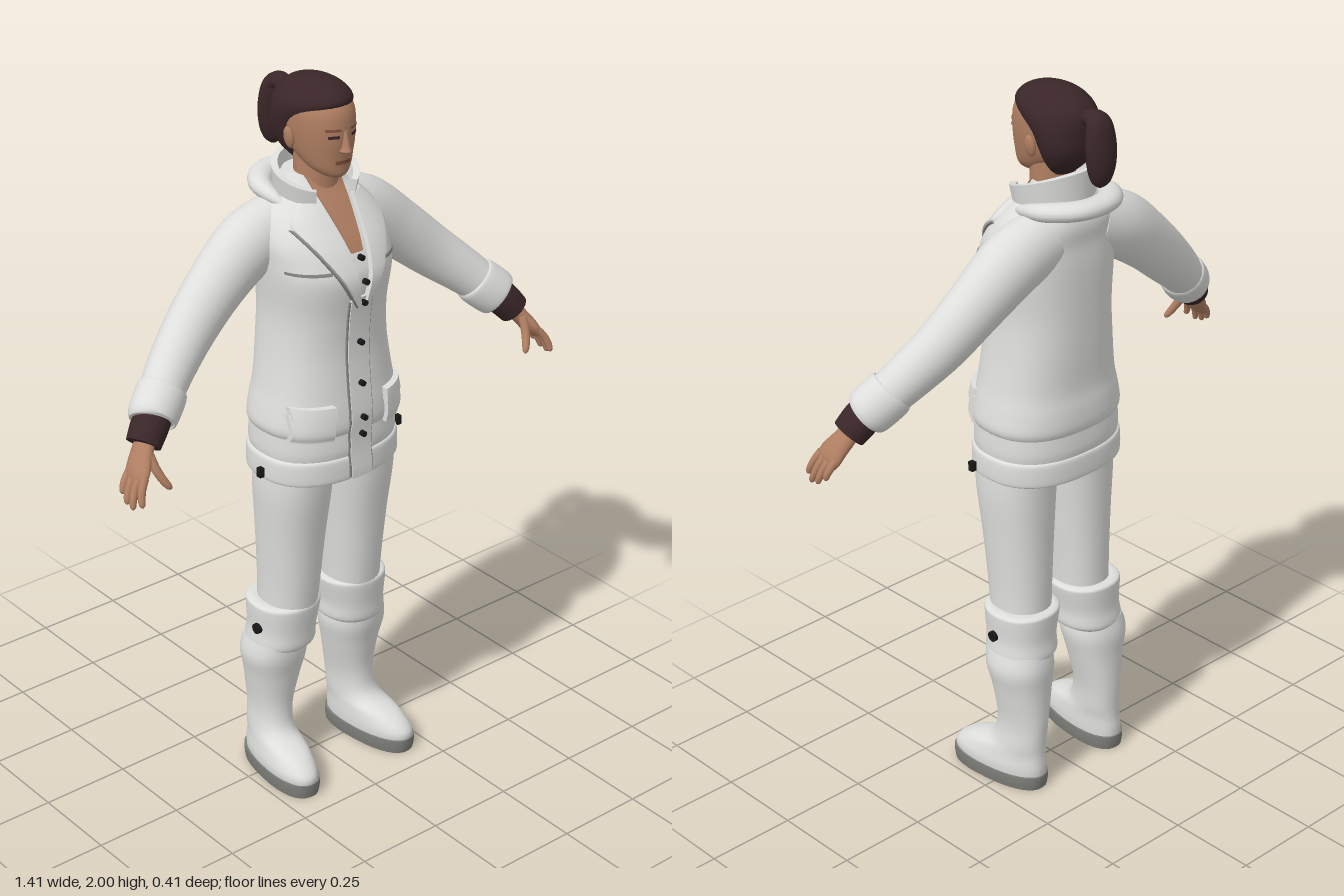
import * as THREE from 'three';

const mat = (name, color, side = THREE.FrontSide) => {
  const m = new THREE.MeshStandardMaterial({ color, side });
  m.name = name;
  return m;
};

// Smoothly subdivide rows of [x, y, z, radius1, radius2]
function densify(rows, k = 5) {
  const out = [];
  const cr = (a, b, c, d, t) => 0.5 * (2 * b + (c - a) * t + (2 * a - 5 * b + 4 * c - d) * t * t + (3 * b - a - 3 * c + d) * t ** 3);
  for (let i = 0; i < rows.length - 1; i++) {
    const [a, b, c, d] = [i - 1, i, i + 1, i + 2].map(n => rows[Math.min(Math.max(n, 0), rows.length - 1)]);
    for (let s = 0; s < k; s++) out.push(b.map((_, n) => cr(a[n], b[n], c[n], d[n], s / k)));
  }
  out.push(rows[rows.length - 1]);
  return out;
}

// Closed skin over superellipse rings; with no ref the rings stay level, otherwise they follow the path
function loft(rows, { ref = null, p = 2, seg = 32, k = 5 } = {}) {
  const R = densify(rows, k), pos = [], idx = [];
  const pt = r => new THREE.Vector3(r[0], r[1], r[2]);
  const pw = v => Math.sign(v) * Math.abs(v) ** (2 / p);
  const rings = R.map((r, i) => {
    let u = new THREE.Vector3(1, 0, 0), v = new THREE.Vector3(0, 0, 1);
    if (ref) {
      const t = pt(R[Math.min(i + 1, R.length - 1)]).sub(pt(R[Math.max(i - 1, 0)])).normalize();
      u = t.clone().cross(ref).normalize();
      v = u.clone().cross(t);
    }
    return Array.from({ length: seg }, (_, j) => {
      const a = j / seg * Math.PI * 2;
      return pt(r).addScaledVector(u, r[3] * pw(Math.cos(a))).addScaledVector(v, r[4] * pw(Math.sin(a)));
    });
  });
  rings.forEach(ring => ring.forEach(q => pos.push(q.x, q.y, q.z)));
  for (let i = 0; i < rings.length - 1; i++) for (let j = 0; j < seg; j++) {
    const a = i * seg + j, c = i * seg + (j + 1) % seg, b = a + seg, d = c + seg;
    idx.push(a, b, c, b, d, c);
  }
  for (const end of [0, rings.length - 1]) {
    const base = pos.length / 3, c = pt(R[end]);
    rings[end].forEach(q => pos.push(q.x, q.y, q.z));
    pos.push(c.x, c.y, c.z);
    for (let j = 0; j < seg; j++) {
      const n = base + (j + 1) % seg;
      end ? idx.push(base + seg, n, base + j) : idx.push(base + seg, base + j, n);
    }
  }
  const g = new THREE.BufferGeometry();
  g.setAttribute('position', new THREE.Float32BufferAttribute(pos, 3));
  g.setIndex(idx);
  g.computeVertexNormals();
  return g;
}

// Move every vertex of a unit box by a rule
function bend(nx, ny, rule) {
  const g = new THREE.BoxGeometry(1, 1, 1, nx, ny, 1), P = g.attributes.position;
  for (let i = 0; i < P.count; i++) P.setXYZ(i, ...rule(P.getX(i), P.getY(i), P.getZ(i)));
  g.computeVertexNormals();
  return g;
}

// Front z of a level loft at x, y
function surface(rows, p) {
  const R = densify(rows, 8);
  return (x, y) => {
    let i = 0;
    if (y < R[0][1] || y > R[R.length - 1][1]) return -1;
    while (i < R.length - 2 && R[i + 1][1] < y) i++;
    const t = (y - R[i][1]) / (R[i + 1][1] - R[i][1]);
    const [, , z, rx, rz] = R[i].map((v, n) => v + (R[i + 1][n] - v) * t);
    return z + rz * (1 - Math.min(Math.abs(x / rx), 0.99) ** p) ** (1 / p);
  };
}

// Slab lying on a front surface, with edges x0(t) and x1(t)
const patch = (front, y0, y1, x0, x1, depth) => bend(10, 16, (bx, by, bz) => {
  const t = by + 0.5, a = x0(t), x = a + (x1(t) - a) * (bx + 0.5), y = y0 + (y1 - y0) * t;
  return [x, y, front(x, y) + depth * (bz + 0.5) - (bz < 0 ? 0.004 : 0)];
});

export function createModel() {
  const model = new THREE.Group();
  const white = mat('white cloth', 0xdededc), skin = mat('skin', 0xb07f62), dark = mat('dark brown', 0x3a2628);
  const soleGrey = mat('sole grey', 0x7d7d78), black = mat('black', 0x181818);
  const seam = mat('seam grey', 0x858583), lip = mat('lip and brow', 0x80513f);
  const Y = new THREE.Vector3(0, 1, 0), Z = new THREE.Vector3(0, 0, 1), X = new THREE.Vector3(1, 0, 0);
  const add = (name, geo, m) => {
    const mesh = new THREE.Mesh(geo, m);
    mesh.name = name;
    model.add(mesh);
  };
  const both = (name, geo, m) => {
    add('left ' + name, geo, m);
    const g = geo.clone().scale(-1, 1, 1), I = g.index.array;
    for (let i = 0; i < I.length; i += 3) [I[i], I[i + 1]] = [I[i + 1], I[i]];
    add('right ' + name, g, m);
  };

  // Jacket body and hem bands
  const body = [[0, 1.06, .015, .188, .145], [0, 1.09, .015, .206, .158], [0, 1.14, .015, .199, .157], [0, 1.2, .015, .186, .15],
    [0, 1.3, .01, .172, .147], [0, 1.4, .012, .166, .15], [0, 1.5, .018, .175, .157], [0, 1.55, .012, .178, .15],
    [0, 1.6, 0, .178, .135], [0, 1.65, -.02, .16, .117], [0, 1.69, -.03, .125, .095], [0, 1.72, -.035, .09, .075], [0, 1.75, -.035, .07, .06]];
  const hem = [[0, 1.0, .015, .199, .152], [0, 1.03, .015, .202, .156], [0, 1.075, .015, .2, .153]];
  const band = [[0, .94, .015, .203, .155], [0, .95, .015, .209, .16], [0, 1.0, .015, .208, .159], [0, 1.01, .015, .2, .152]];
  const P = 2.4;
  [['jacket', body], ['hem', hem], ['hem band', band]].forEach(([n, r]) => add(n, loft(r, { p: P, seg: 56 }), white));
  const fronts = [body, hem, band].map(r => surface(r, P));
  const front = (x, y) => Math.max(...fronts.map(f => f(x, y)));

  // Placket, lapels, pockets and seams
  const box = (y0, y1, x0, x1, d) => patch(front, y0, y1, () => x0, () => x1, d);
  add('placket', box(.945, 1.46, -.034, .034, .008), white);
  add('open neckline', patch(front, 1.575, 1.745, t => -.018 - .035 * t, t => .018 + .035 * t, .006), skin);
  both('lapel', patch(front, 1.44, 1.695, t => .008 + .048 * t,
    t => t < .8 ? .016 + .155 * t : .14 - .22 * (t - .8), .016), white);
  both('lapel edge', patch(front, 1.43, 1.64, t => .012 + .126 * t, t => .018 + .126 * t, .009), seam);
  both('placket seam', box(.95, 1.45, .033, .038, .005), seam);
  both('yoke seam', box(1.533, 1.54, .085, .17, .004), seam);
  both('pocket', box(1.07, 1.15, .088, .183, .014), white);
  both('pocket flap', box(1.135, 1.17, .084, .18, .02), white);

  // Snaps and clasps
  [1.565, 1.505, 1.445, 1.33, 1.215, 1.12, 1.07].forEach((y, i) =>
    add('snap ' + (i + 1), new THREE.CylinderGeometry(.008, .008, .014, 12).rotateX(Math.PI / 2).translate(0, y, front(0, y) + .015), black));
  both('hem clasp', new THREE.BoxGeometry(.014, .026, .016).translate(.235, .98, .05), black);
  both('boot snap', new THREE.CylinderGeometry(.015, .015, .014, 16).rotateZ(Math.PI / 2).translate(.212, .47, 0), black);

  // Standing collar, open at the front, and rolled hood behind it
  add('collar', bend(48, 5, (bx, by, bz) => {
    const a = bx * 5.1, t = by + .5, c = Math.cos(a), r = 1 - bz * .17;
    const lo = 1.675 + .025 * c, hi = 1.755 + .033 * c;
    return [Math.sin(a) * (.098 + .012 * t) * r, lo + (hi - lo) * t, -.02 + .008 * t - c * (.092 + .004 * t) * r];
  }), white);
  add('rolled hood', loft([[-.115, 1.685, 0, .008, .008], [-.118, 1.695, -.04, .02, .018], [-.108, 1.705, -.1, .03, .024],
    [-.06, 1.71, -.152, .034, .025], [0, 1.71, -.165, .034, .025], [.06, 1.71, -.152, .034, .025], [.108, 1.705, -.1, .03, .024],
    [.118, 1.695, -.04, .02, .018], [.115, 1.685, 0, .008, .008]], { ref: Y, seg: 16 }), white);

  // Sleeves, cuffs and knitted wristbands
  both('sleeve', loft([[.08, 1.615, -.055, .085, .075], [.19, 1.575, -.055, .09, .08], [.3, 1.495, -.045, .08, .072],
    [.4, 1.41, -.025, .072, .065], [.49, 1.335, .01, .063, .06], [.55, 1.28, .042, .056, .056]], { ref: Z }), white);
  both('sleeve cuff', loft([[.518, 1.31, .025, .056, .056], [.524, 1.304, .028, .065, .064], [.55, 1.28, .042, .067, .065],
    [.578, 1.256, .056, .064, .062], [.584, 1.25, .06, .054, .052]], { ref: Z }), white);
  both('wristband', loft([[.57, 1.262, .055, .046, .048], [.595, 1.237, .066, .047, .05], [.622, 1.205, .078, .044, .046]], { ref: Z }), dark);

  // Hands
  both('palm', loft([[.605, 1.225, .07, .022, .028], [.64, 1.18, .09, .021, .036], [.662, 1.148, .105, .018, .042],
    [.674, 1.126, .113, .01, .036]], { ref: Z, seg: 20 }), skin);
  const finger = (a, b, r) => {
    const s = new THREE.Vector3(...a), e = new THREE.Vector3(...b);
    return loft([0, .35, .7, .92, 1].map((t, i) => {
      const q = s.clone().lerp(e, t);
      return [q.x + .008 * Math.sin(t * 3), q.y, q.z, r * [1, 1, .9, .7, .2][i], r * [1, 1, .9, .7, .2][i]];
    }), { ref: Z, seg: 10, k: 3 });
  };
  [[.694, 1.095], [.7, 1.078], [.7, 1.073], [.688, 1.085]].forEach(([x, y], i) =>
    both('finger ' + (i + 1), finger([.664, 1.148, .076 + i * .021], [x, y, .088 + i * .025], .0105), skin));
  both('thumb', finger([.628, 1.19, .11], [.597, 1.105, .158], .0125), skin);

  // Trousers
  both('trouser leg', loft([[.11, .5, 0, .075, .085], [.108, .6, .005, .078, .09], [.107, .75, .012, .088, .098],
    [.106, .9, .02, .099, .11], [.1, 1.02, .02, .098, .115]], { p: 2.2 }), white);

  // Boots with folded tops and soles, toes turned out
  const turn = g => g.translate(-.145, 0, .04).rotateY(.12).translate(.145, 0, -.04);
  both('boot', turn(loft([[.15, .03, .035, .062, .15], [.15, .06, .034, .064, .15], [.148, .095, .014, .06, .127],
    [.146, .13, -.028, .056, .085], [.142, .2, -.04, .056, .076], [.138, .3, -.034, .074, .082],
    [.137, .37, -.027, .088, .092], [.134, .42, -.02, .08, .09]], { p: 2.2 })), white);
  both('boot sole', turn(loft([[.15, 0, .035, .064, .152], [.15, .02, .035, .067, .155], [.15, .04, .035, .067, .155]], { p: 2.4, k: 2 })), soleGrey);
  both('boot top', loft([[.125, .4, -.018, .08, .088], [.123, .415, -.016, .092, .096], [.12, .46, -.012, .09, .095],
    [.116, .52, -.01, .097, .1], [.115, .537, -.01, .096, .099], [.114, .542, -.008, .082, .09]], { p: 2.2 }), white);

  // Neck and head
  const head = [[0, 1.754, .06, .018, .024], [0, 1.765, .05, .038, .045], [0, 1.785, .033, .057, .065], [0, 1.815, .013, .07, .088],
    [0, 1.85, 0, .078, .106], [0, 1.89, -.008, .083, .115], [0, 1.93, -.012, .082, .112], [0, 1.962, -.014, .066, .09], [0, 1.985, -.014, .03, .04]];
  const face = surface(head, 2.1);
  add('neck', loft([[0, 1.6, 0, .07, .06], [0, 1.7, -.008, .06, .058], [0, 1.82, -.01, .056, .06]]), skin);
  add('head', loft(head, { p: 2.1, seg: 40 }), skin);
  add('nose', loft([[0, 1.824, .1, .007, .008], [0, 1.832, .102, .016, .023], [0, 1.845, .103, .011, .018],
    [0, 1.885, .102, .006, .008]], { seg: 14 }), skin);
  both('ear', new THREE.SphereGeometry(1, 14, 10).scale(.01, .03, .018).rotateZ(-.15).translate(.083, 1.852, -.015), skin);
  const mark = (y, h, x0, x1, tilt = 0) => patch((x, yy) => face(x, yy), y - h, y + h, () => x0, () => x1, .003);
  both('eye', mark(1.872, .0035, .02, .044), dark);
  both('eyebrow', mark(1.89, .003, .016, .05), lip);
  add('mouth', mark(1.801, .005, -.023, .023), lip);

  // Hair swept back from the face, and ponytail
  add('hair', loft([[0, 1.775, -.05, .035, .025], [0, 1.81, -.062, .064, .05], [0, 1.85, -.066, .083, .066], [0, 1.89, -.056, .09, .08],
    [0, 1.925, -.032, .091, .105], [0, 1.95, -.018, .085, .112], [0, 1.972, -.014, .07, .096], [0, 1.99, -.014, .045, .063],
    [0, 2, -.014, .008, .01]], { p: 2.1, seg: 40 }), dark);
  add('ponytail', loft([[0, 1.925, -.115, .018, .02], [0, 1.942, -.145, .021, .026], [0, 1.932, -.172, .026, .038], [0, 1.88, -.181, .03, .046],
    [0, 1.825, -.183, .03, .042], [0, 1.785, -.181, .022, .028], [0, 1.768, -.18, .006, .008]], { ref: X, seg: 20 }), dark);
  return model;
}
